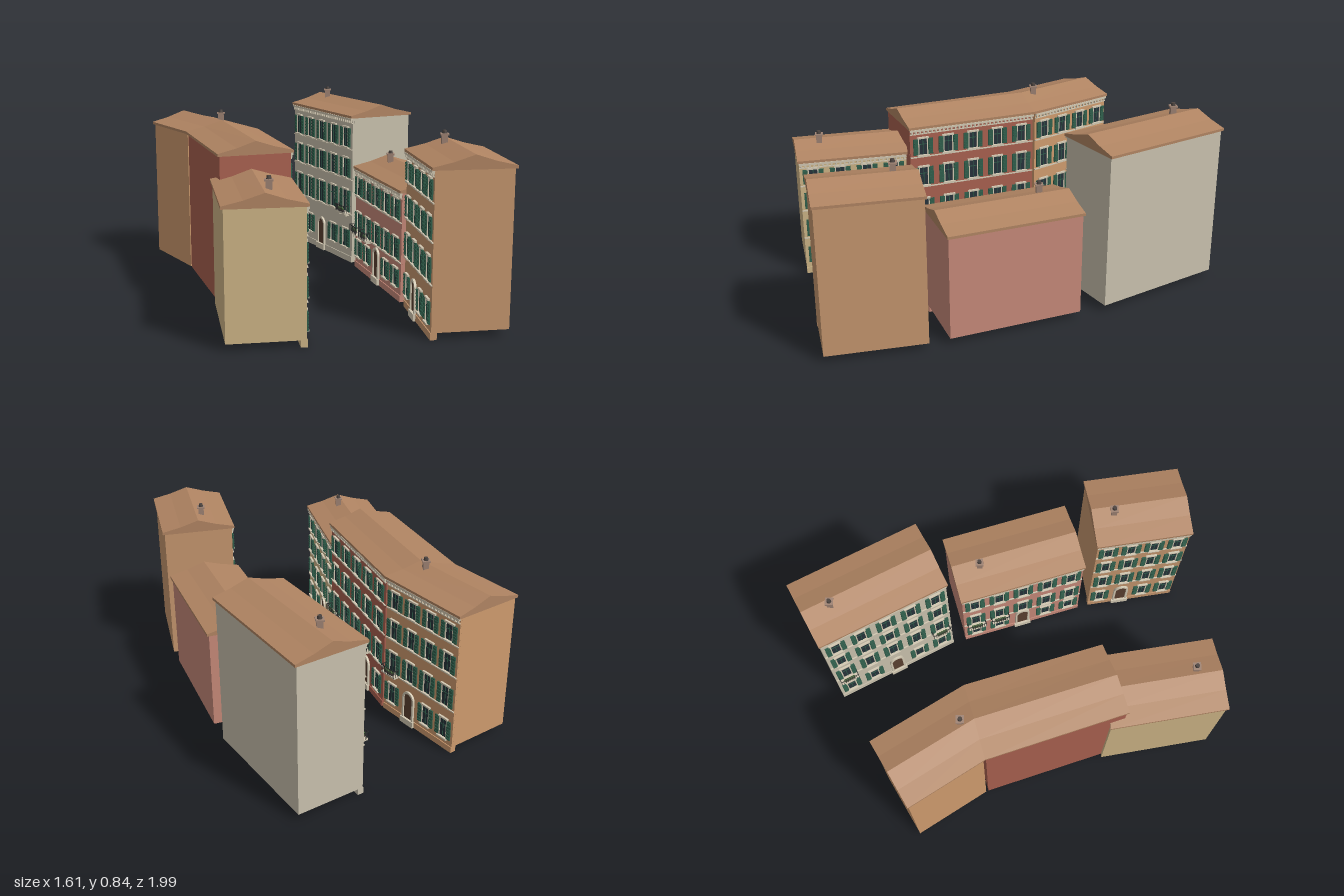
import * as THREE from 'three';
import { mergeGeometries } from 'three/addons/utils/BufferGeometryUtils.js';

const COLORS = { roof: 0xb08462, stone: 0xd2c8b2, shutter: 0x2f5e4b, glass: 0x26323a, iron: 0x2a2c2c, leaf: 0x4a6b3a, door: 0x5a4030, chimney: 0xa08474, pot: 0x4c4440 };

// Plan corners [x, z]: facade left, facade right, rear right, rear left (seen from the street)
const HOUSES = [
  { name: 'backLeftHouse', color: 0xcd9a6d, plan: [[-0.26, -0.2], [-0.51, -0.61], [-0.805, -0.44], [-0.6, -0.11]], ridge: 0.75,
    floors: [[0.11, 0.095], [0.28, 0.1], [0.45, 0.09], [0.6, 0.08]], cols: 4, doors: [1], balconies: [0], chimney: [-0.44, -0.215] },
  { name: 'middleLeftHouse', color: 0xa8604f, plan: [[-0.08, 0.42], [-0.26, -0.2], [-0.6, -0.11], [-0.4, 0.525]], ridge: 0.75,
    floors: [[0.11, 0.095], [0.28, 0.1], [0.45, 0.09], [0.6, 0.08]], cols: 5, doors: [1, 3], balconies: [0, 1, 2, 3] },
  { name: 'frontLeftHouse', color: 0xcdb486, plan: [[-0.015, 0.94], [-0.09, 0.43], [-0.44, 0.45], [-0.355, 0.99]], ridge: 0.63,
    floors: [[0.1, 0.08], [0.24, 0.085], [0.38, 0.08], [0.5, 0.07]], cols: 4, doors: [2], balconies: [], chimney: [-0.175, 0.845] },
  { name: 'backRightHouse', color: 0xc8c0ac, plan: [[-0.095, -0.84], [0.2, -0.27], [0.51, -0.42], [0.21, -1]], ridge: 0.8,
    floors: [[0.12, 0.09], [0.315, 0.11], [0.485, 0.095], [0.64, 0.095]], cols: 5, doors: [2], balconies: [0, 4], chimney: [0.095, -0.79] },
  { name: 'middleRightHouse', color: 0xc58878, plan: [[0.21, -0.22], [0.385, 0.38], [0.72, 0.29], [0.545, -0.31]], ridge: 0.56,
    floors: [[0.105, 0.08], [0.24, 0.095], [0.42, 0.09]], cols: 5, doors: [2], balconies: [0, 1], chimney: [0.385, -0.13] },
  { name: 'frontRightHouse', color: 0xc4956d, plan: [[0.395, 0.42], [0.46, 0.87], [0.805, 0.82], [0.745, 0.37]], ridge: 0.755,
    floors: [[0.11, 0.095], [0.29, 0.1], [0.46, 0.09], [0.615, 0.08]], cols: 4, doors: [1], balconies: [], chimney: [0.555, 0.5] },
];

const material = (color) => new THREE.MeshStandardMaterial({ color, flatShading: true });

// Collects geometries by part name so each kind becomes one mesh
class Parts {
  constructor() { this.lists = {}; }
  add(name, color, geo) {
    const g = geo.index ? geo.toNonIndexed() : geo;
    (this.lists[name] ??= { color, geos: [] }).geos.push(g);
  }
  box(name, color, w, h, d, x, y, z) {
    this.add(name, color, new THREE.BoxGeometry(w, h, d).translate(x, y, z));
  }
  into(group) {
    for (const [name, { color, geos }] of Object.entries(this.lists)) {
      const mesh = new THREE.Mesh(mergeGeometries(geos), material(color));
      mesh.name = name;
      group.add(mesh);
    }
  }
}

// Vertical prism over a plan
function prism(plan, y0, y1) {
  const shape = new THREE.Shape(plan.map(([x, z]) => new THREE.Vector2(x, -z)));
  return new THREE.ExtrudeGeometry(shape, { depth: y1 - y0, bevelEnabled: false }).rotateX(-Math.PI / 2).translate(0, y0, 0);
}

// Move along the line a -> b by distance d
function toward(a, b, d) {
  const l = Math.hypot(b[0] - a[0], b[1] - a[1]);
  return [a[0] + (b[0] - a[0]) * d / l, a[1] + (b[1] - a[1]) * d / l];
}

// Gable roof with a slight kick, lofted between the two end sections
function roofGeometry([f0, f1, b1, b0], base) {
  const profile = [[0, 0], [0, 0.012], [0.25, 0.032], [0.5, 0.06], [0.75, 0.032], [1, 0.012], [1, 0]];
  const section = (f, b) => profile.map(([t, y]) => [f[0] + (b[0] - f[0]) * t, base + y, f[1] + (b[1] - f[1]) * t]);
  const mid = (f, b) => [(f[0] + b[0]) / 2, base, (f[1] + b[1]) / 2];
  const s0 = section(f0, b0), s1 = section(f1, b1), m0 = mid(f0, b0), m1 = mid(f1, b1);
  const pos = [];
  const tri = (...p) => p.forEach((v) => pos.push(...v));
  for (let i = 0; i < profile.length; i++) {
    const j = (i + 1) % profile.length;
    tri(s0[i], s1[i], s1[j]);
    tri(s0[i], s1[j], s0[j]);
    tri(m0, s0[i], s0[j]);
    tri(m1, s1[j], s1[i]);
  }
  const geo = new THREE.BufferGeometry();
  geo.setAttribute('position', new THREE.Float32BufferAttribute(pos, 3));
  geo.computeVertexNormals();
  return geo;
}

// Window with frame, sill, lintel and a pair of open louvred shutters
function addWindow(p, x, y, w, h) {
  p.box('windowPanes', COLORS.glass, w, h, 0.004, x, y, 0.001);
  for (const s of [-1, 1]) {
    p.box('windowFrames', COLORS.stone, 0.005, h, 0.008, x + s * w / 2, y, 0.003);
    const sx = x + s * (w / 2 + 0.015);
    p.box('shutters', COLORS.shutter, 0.023, h, 0.006, sx, y, 0.006);
    for (let i = 0; i < 6; i++) p.box('shutters', COLORS.shutter, 0.017, 0.005, 0.004, sx, y + h * ((i + 0.5) / 6 - 0.5), 0.01);
  }
  p.box('windowBars', COLORS.shutter, 0.003, h, 0.004, x, y, 0.003);
  p.box('windowBars', COLORS.shutter, w, 0.003, 0.004, x, y + h * 0.15, 0.003);
  p.box('windowFrames', COLORS.stone, w + 0.014, 0.008, 0.012, x, y + h / 2 + 0.004, 0.004);
  p.box('windowFrames', COLORS.stone, w + 0.018, 0.007, 0.018, x, y - h / 2 - 0.0035, 0.006);
}

// Round arched outline standing on y = 0
function archPath(PathType, w, h) {
  const path = new PathType();
  path.moveTo(-w / 2, 0);
  path.lineTo(w / 2, 0);
  path.lineTo(w / 2, h - w / 2);
  path.absarc(0, h - w / 2, w / 2, 0, Math.PI, false);
  path.lineTo(-w / 2, 0);
  return path;
}

function addDoor(p, x) {
  const surround = archPath(THREE.Shape, 0.074, 0.145);
  surround.holes.push(archPath(THREE.Path, 0.054, 0.134));
  const opts = { bevelEnabled: false, curveSegments: 8 };
  p.add('doorSurrounds', COLORS.stone, new THREE.ExtrudeGeometry(surround, { ...opts, depth: 0.012 }).translate(x, 0.03, -0.002));
  p.add('doors', COLORS.door, new THREE.ExtrudeGeometry(archPath(THREE.Shape, 0.056, 0.135), { ...opts, depth: 0.004 }).translate(x, 0.03, 0));
  p.box('doorSteps', COLORS.stone, 0.085, 0.03, 0.018, x, 0.015, 0.006);
}

// Balcony slab with brackets, iron railing and planters
function addBalcony(p, x, y) {
  const w = 0.09, d = 0.036;
  p.box('balconySlabs', COLORS.stone, w, 0.007, d, x, y, d / 2);
  for (const s of [-1, 1]) {
    p.box('balconyBrackets', COLORS.stone, 0.007, 0.014, 0.022, x + s * 0.03, y - 0.01, 0.011);
    p.box('railings', COLORS.iron, 0.003, 0.003, d, x + s * w / 2, y + 0.037, d / 2);
    for (let i = 1; i < 3; i++) p.box('railings', COLORS.iron, 0.002, 0.036, 0.002, x + s * w / 2, y + 0.02, d * i / 3);
  }
  p.box('railings', COLORS.iron, w, 0.003, 0.003, x, y + 0.037, d);
  for (let i = 0; i <= 8; i++) p.box('railings', COLORS.iron, 0.002, 0.036, 0.002, x + w * (i / 8 - 0.5), y + 0.02, d);
  p.box('planters', COLORS.pot, 0.055, 0.01, 0.01, x, y + 0.01, d - 0.008);
  for (let i = -2; i <= 2; i++) p.add('plants', COLORS.leaf, new THREE.IcosahedronGeometry(0.008, 0).translate(x + i * 0.011, y + 0.02, d - 0.008));
}

function buildFacade(house, f0, f1, eave) {
  const L = Math.hypot(f1[0] - f0[0], f1[1] - f0[1]);
  const p = new Parts();
  // Front wall and its plinth reach the ground
  p.box('frontWall', house.color, L, eave, 0.024, 0, eave / 2, -0.012);
  p.box('plinth', house.color, L, 0.03, 0.005, 0, 0.015, 0.002);
  // Eaves cornice with brackets
  p.box('cornice', COLORS.stone, L, 0.01, 0.012, 0, eave - 0.006, 0.006);
  p.box('cornice', COLORS.stone, L, 0.004, 0.006, 0, eave - 0.026, 0.003);
  const n = Math.round(L / 0.02);
  for (let i = 0; i < n; i++) p.box('corniceBrackets', COLORS.stone, 0.008, 0.012, 0.009, L * ((i + 0.5) / n - 0.5), eave - 0.017, 0.0045);
  // String courses, windows, doors and balconies
  const colX = (c) => L * ((c + 0.5) / house.cols - 0.5);
  const w = Math.min(0.044, L / house.cols - 0.072);
  house.floors.forEach(([y, h], f) => {
    if (f) p.box('stringCourses', COLORS.stone, L, 0.005, 0.006, 0, y - h / 2 - 0.012, 0.003);
    for (let c = 0; c < house.cols; c++) {
      if (f === 0 && house.doors.includes(c)) addDoor(p, colX(c));
      else addWindow(p, colX(c), y, w, h);
    }
  });
  const [by, bh] = house.floors[1];
  house.balconies.forEach((c) => addBalcony(p, colX(c), by - bh / 2 - 0.006));
  const group = new THREE.Group();
  group.name = 'facade';
  p.into(group);
  // Local z points to the street
  group.position.set((f0[0] + f1[0]) / 2, 0, (f0[1] + f1[1]) / 2);
  group.rotation.y = Math.atan2(-(f1[1] - f0[1]), f1[0] - f0[0]);
  return group;
}

function buildHouse(house) {
  const group = new THREE.Group();
  group.name = house.name;
  const eave = house.ridge - 0.06;
  const [f0, f1, b1, b0] = house.plan;
  // Walls sit slightly inside the eaves
  const inset = (a, depthTo, sideTo, d) => {
    const q = toward(a, depthTo, d), s = toward(a, sideTo, 0.006);
    return [q[0] + s[0] - a[0], q[1] + s[1] - a[1]];
  };
  const w0 = inset(f0, b0, f1, 0.012), w1 = inset(f1, b1, f0, 0.012);
  const r1 = inset(b1, f1, b0, 0.01), r0 = inset(b0, f0, b1, 0.01);
  const p = new Parts();
  p.add('walls', house.color, prism([toward(w0, r0, 0.008), toward(w1, r1, 0.008), r1, r0], 0.03, eave + 0.002));
  p.add('roof', COLORS.roof, roofGeometry(house.plan, eave));
  if (house.chimney) {
    const [x, z] = house.chimney, y = house.ridge;
    p.box('chimneyStack', COLORS.chimney, 0.026, 0.055, 0.026, x, y - 0.002, z);
    p.box('chimneyCap', COLORS.chimney, 0.036, 0.007, 0.036, x, y + 0.027, z);
    p.add('chimneyPot', COLORS.pot, new THREE.CylinderGeometry(0.009, 0.011, 0.014, 10).translate(x, y + 0.037, z));
  }
  p.into(group);
  group.add(buildFacade(house, w0, w1, eave));
  return group;
}

export function createModel() {
  const model = new THREE.Group();
  model.name = 'streetOfHouses';
  HOUSES.forEach((house) => model.add(buildHouse(house)));
  return model;
}
